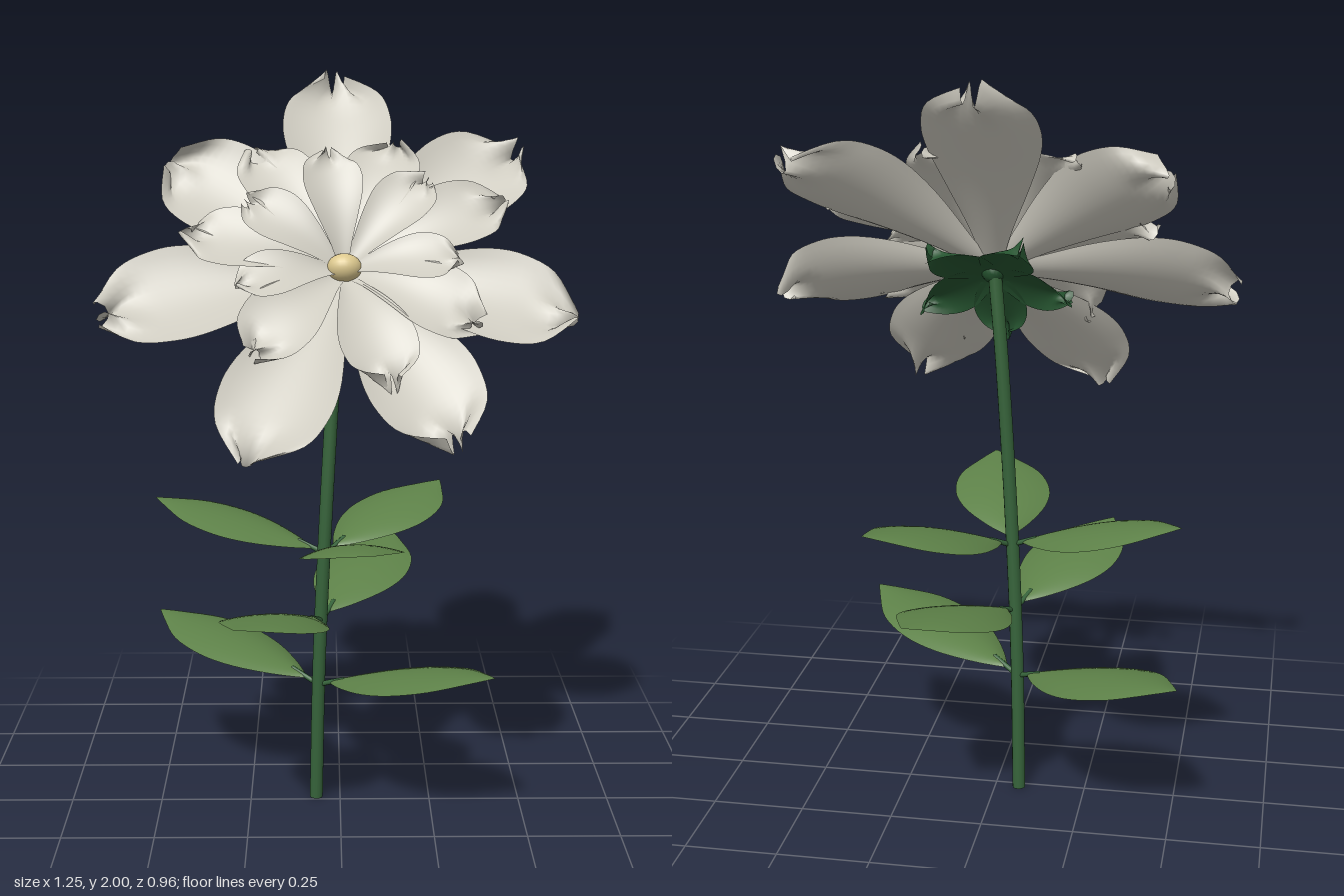
import * as THREE from 'three';

const mat = (name, color, side = THREE.FrontSide) => {
  const m = new THREE.MeshStandardMaterial({ color, side });
  m.name = name;
  return m;
};

// Half-width and position along the length, root to tip
const outline = (pts) => new THREE.SplineCurve(pts.map(([w, t]) => new THREE.Vector2(w, t)));
const PETAL = outline([[0.02, 0], [0.055, 0.18], [0.11, 0.4], [0.15, 0.6], [0.155, 0.75], [0.125, 0.89], [0.03, 1]]);
const LEAF = outline([[0.008, 0.08], [0.06, 0.2], [0.114, 0.38], [0.134, 0.56], [0.112, 0.75], [0.046, 0.91], [0.002, 1]]);
const SEPAL = outline([[0.02, 0], [0.05, 0.25], [0.065, 0.5], [0.05, 0.75], [0.002, 1]]);

// Curved blade growing along +y and facing +z; lift(t, s) gives its height
function blade(curve, length, widthScale, lift, ruffle = 0, seed = 0) {
  const rows = 24, cols = 14, pos = [], idx = [];
  for (let j = 0; j <= rows; j++) {
    const p = curve.getPoint(j / rows);
    const k = Math.max(0, (p.y - 0.78) / 0.22);
    for (let i = 0; i <= cols; i++) {
      const s = (i / cols) * 2 - 1;
      const fold = ruffle * k * k * Math.sin(6 * s + seed);
      const jag = ruffle * k * Math.sin(7 * s + seed * 2.3);
      pos.push(s * p.x * widthScale, p.y * length + jag * 0.6, lift(p.y, s) + fold);
    }
  }
  for (let j = 0; j < rows; j++) {
    for (let i = 0; i < cols; i++) {
      const a = j * (cols + 1) + i, b = a + cols + 1;
      idx.push(a, a + 1, b + 1, a, b + 1, b);
    }
  }
  const g = new THREE.BufferGeometry();
  g.setAttribute('position', new THREE.Float32BufferAttribute(pos, 3));
  g.setIndex(idx);
  g.computeVertexNormals();
  return g;
}

export function createModel() {
  const model = new THREE.Group();
  model.name = 'flower';
  const petalMat = mat('petal ivory', 0xcecbc0, THREE.DoubleSide);
  const leafMat = mat('leaf green', 0x5d8148, THREE.DoubleSide);
  const stemMat = mat('stem green', 0x36633a);
  const sepalMat = mat('sepal green', 0x25532f, THREE.DoubleSide);
  const seedMat = mat('centre yellow', 0xdcc88e);

  const add = (parent, name, geometry, material) => {
    const mesh = new THREE.Mesh(geometry, material);
    mesh.name = name;
    parent.add(mesh);
    return mesh;
  };

  // Slightly leaning stem with a closed foot
  const stemPath = new THREE.CatmullRomCurve3([
    [-0.067, 0, -0.02], [-0.058, 0.4, -0.008], [-0.04, 0.8, 0], [-0.014, 1.25, -0.005], [0.005, 1.47, 0],
  ].map((p) => new THREE.Vector3(...p)));
  add(model, 'stem', new THREE.TubeGeometry(stemPath, 30, 0.018, 12), stemMat);
  const foot = add(model, 'stemFoot', new THREE.CircleGeometry(0.018, 12), stemMat);
  foot.rotation.x = Math.PI / 2;
  foot.position.set(-0.067, 0.001, -0.02);

  // Leaves: node position, then tip x and z
  const leaves = [
    [-0.06, 0.35, -0.01, -0.52, -0.31], [-0.06, 0.35, -0.01, 0.4, 0.29],
    [-0.05, 0.54, 0, 0.16, -0.47], [-0.05, 0.54, 0, -0.27, 0.46],
    [-0.04, 0.73, 0, -0.51, -0.14], [-0.04, 0.73, 0, 0.29, -0.34], [-0.04, 0.73, 0, 0.08, 0.46],
  ];
  for (const [x, y, z, tx, tz] of leaves) {
    const leaf = new THREE.Group();
    leaf.name = 'leaf';
    leaf.position.set(x, y, z);
    leaf.rotation.y = Math.atan2(x - tx, z - tz);
    const length = Math.hypot(tx - x, tz - z);
    const rise = (t) => 0.12 * (1.25 * t - 0.25 * t * t) - 0.01 + 0.018 * Math.sin(Math.PI * t);
    const g = blade(LEAF, length, 1, (t, s) => rise(t) - 0.028 * s * s * Math.sin(Math.PI * t));
    add(leaf, 'leafBlade', g.rotateX(-Math.PI / 2), leafMat);
    const stalk = new THREE.CatmullRomCurve3([0, 0.08, 0.16].map((t) => new THREE.Vector3(0, rise(t) - 0.004, -t * length)));
    add(leaf, 'leafStalk', new THREE.TubeGeometry(stalk, 6, 0.007, 8), stemMat);
    model.add(leaf);
  }

  // Tilted flower head: local z points out of the bloom
  const head = new THREE.Group();
  head.name = 'flowerHead';
  head.position.set(0.01, 1.5, 0.04);
  head.rotation.x = -0.75;
  model.add(head);

  // Petal rings; each petal is [angle, length, tip height]
  const rings = [
    { name: 'outerPetal', width: 0.94, base: -0.045, arch: 0.015, cup: 0.045, ruffle: 0.028, petals: [
      [92, 0.645, -0.01], [145, 0.565, 0.02], [195, 0.64, 0.02], [248, 0.64, 0.005],
      [298, 0.59, -0.02], [347, 0.605, -0.04], [42, 0.64, -0.045]] },
    { name: 'middlePetal', width: 0.64, base: -0.025, arch: 0.035, cup: 0.025, ruffle: 0.026, petals: [
      [70, 0.41, 0.03], [25, 0.46, 0.02], [-29, 0.39, 0.02], [-72, 0.39, 0.015],
      [-129, 0.37, 0.03], [170, 0.42, 0.04], [125, 0.42, 0.05]] },
    { name: 'innerPetal', width: 0.5, base: -0.01, arch: 0.025, cup: 0.02, ruffle: 0.014, petals: [
      [98, 0.295, 0.115], [47, 0.32, 0.07], [-4, 0.3, 0.06], [148, 0.3, 0.075], [200, 0.29, 0.06]] },
  ];
  rings.forEach(({ name, width, base, arch, cup, ruffle, petals }, r) => {
    petals.forEach(([angle, length, tip], i) => {
      const seed = i * 1.7 + r * 2.1;
      const lift = (t, s) => base + (tip - base) * t + arch * Math.sin(Math.PI * t)
        + cup * s * s * Math.sin(Math.PI * t * 0.85) + 0.012 * s * Math.sin(seed) * t;
      const petal = add(head, name, blade(PETAL, length, width, lift, ruffle, seed), petalMat);
      petal.rotation.z = THREE.MathUtils.degToRad(angle - 90);
    });
  });

  // Sepals drooping behind the bloom
  for (let i = 0; i < 5; i++) {
    const g = blade(SEPAL, 0.205, 1.1, (t, s) => -0.055 - 0.035 * t - 0.035 * s * s * t, 0.02, i);
    add(head, 'sepal', g, sepalMat).rotation.z = (i + 0.4) * Math.PI * 0.4;
  }

  // Cup joining the stem to the bloom
  const cupProfile = [[0.001, -0.075], [0.02, -0.07], [0.032, -0.055], [0.032, -0.035], [0.001, -0.03]];
  const cupMesh = add(head, 'receptacle', new THREE.LatheGeometry(cupProfile.map((p) => new THREE.Vector2(...p)), 16), sepalMat);
  cupMesh.rotation.x = Math.PI / 2;

  // Flattened yellow centre
  const centre = add(head, 'centre', new THREE.SphereGeometry(0.046, 24, 16), seedMat);
  centre.scale.set(1, 0.8, 0.9);
  return model;
}
